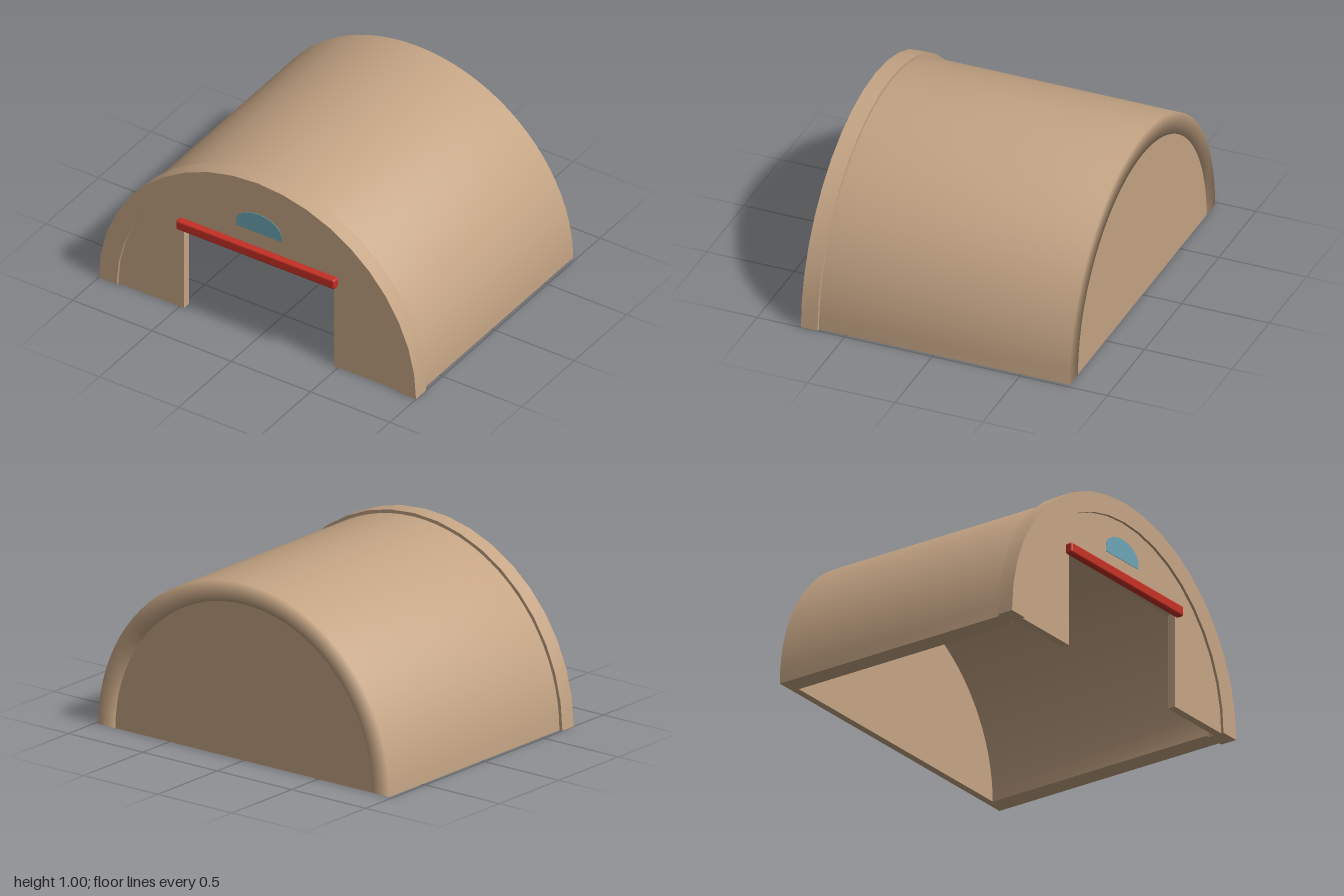
import * as THREE from 'three';
import { mergeVertices, toCreasedNormals } from 'three/addons/utils/BufferGeometryUtils.js';
import { RoundedBoxGeometry } from 'three/addons/geometries/RoundedBoxGeometry.js';

const tan = new THREE.MeshStandardMaterial({ name: 'tan', color: 0xc4a484 });
const red = new THREE.MeshStandardMaterial({ name: 'red', color: 0xc63025 });
const blue = new THREE.MeshStandardMaterial({ name: 'glass blue', color: 0x6ca5b5 });

const FRONT = 0.655, BACK = -0.775;      // roof ends
const OUTER = 0.98, INNER = 0.865;       // roof radii
const ARCH_INNER = 0.887;

// Half ring, or half disc when inner is 0
function archShape(outer, inner) {
  const s = new THREE.Shape();
  s.absarc(0, 0, outer, 0, Math.PI, false);
  if (inner) s.absarc(0, 0, inner, Math.PI, 0, true);
  s.closePath();
  return s;
}

// Extrude a front-facing outline between two depths
function slab(shape, z0, z1, curveSegments) {
  const g = new THREE.ExtrudeGeometry(shape, { depth: z1 - z0, bevelEnabled: false, curveSegments });
  return toCreasedNormals(g.translate(0, 0, z0), 0.6);
}

export function createModel() {
  const model = new THREE.Group();
  const add = (name, geometry, material) => {
    const mesh = new THREE.Mesh(geometry, material);
    mesh.name = name;
    model.add(mesh);
    return mesh;
  };

  // Thick barrel roof, half a turn of a rectangular profile, smoothed over its rims
  const profile = [[OUTER, -FRONT], [OUTER, -BACK], [INNER, -BACK], [INNER, -FRONT], [OUTER, -FRONT]]
    .map(([r, d]) => new THREE.Vector2(r, d));
  let shell = new THREE.LatheGeometry(profile, 40, -Math.PI / 2, Math.PI);
  shell.rotateX(-Math.PI / 2);
  shell.deleteAttribute('uv');
  shell.deleteAttribute('normal');
  shell = mergeVertices(shell);
  shell.computeVertexNormals();
  add('roofShell', shell, tan);

  // Undersides of the roof's two long edges
  for (const side of [-1, 1]) {
    const edge = new THREE.PlaneGeometry(OUTER - INNER, FRONT - BACK).rotateX(Math.PI / 2);
    add('roofFoot', edge, tan).position.set(side * (OUTER + INNER) / 2, 0, (FRONT + BACK) / 2);
  }

  // Raised arch around the front
  add('frontArch', slab(archShape(1, ARCH_INNER), FRONT, 0.75, 10), tan);

  // Front wall with a doorway notch
  const wall = new THREE.Shape();
  wall.moveTo(0.473, 0);
  wall.lineTo(ARCH_INNER, 0);
  wall.absarc(0, 0, ARCH_INNER, 0, Math.PI, false);
  wall.lineTo(-0.473, 0);
  wall.lineTo(-0.473, 0.54);
  wall.lineTo(0.473, 0.54);
  wall.closePath();
  add('frontWall', slab(wall, 0.69, 0.735, 10), tan);

  // Solid back wall
  add('backWall', slab(archShape(INNER, 0), BACK, -0.735, 20), tan);

  // Red lintel above the doorway
  add('doorLintel', new RoundedBoxGeometry(1, 0.06, 0.045, 2, 0.012), red).position.set(0, 0.55, 0.7525);

  // Arched window plate
  const pane = new THREE.Shape();
  pane.moveTo(-0.143, 0.67);
  pane.lineTo(0.143, 0.67);
  pane.lineTo(0.143, 0.7);
  pane.absellipse(0, 0.7, 0.143, 0.09, 0, Math.PI, false, 0);
  pane.closePath();
  add('window', slab(pane, 0.734, 0.738, 10), blue);

  return model;
}
